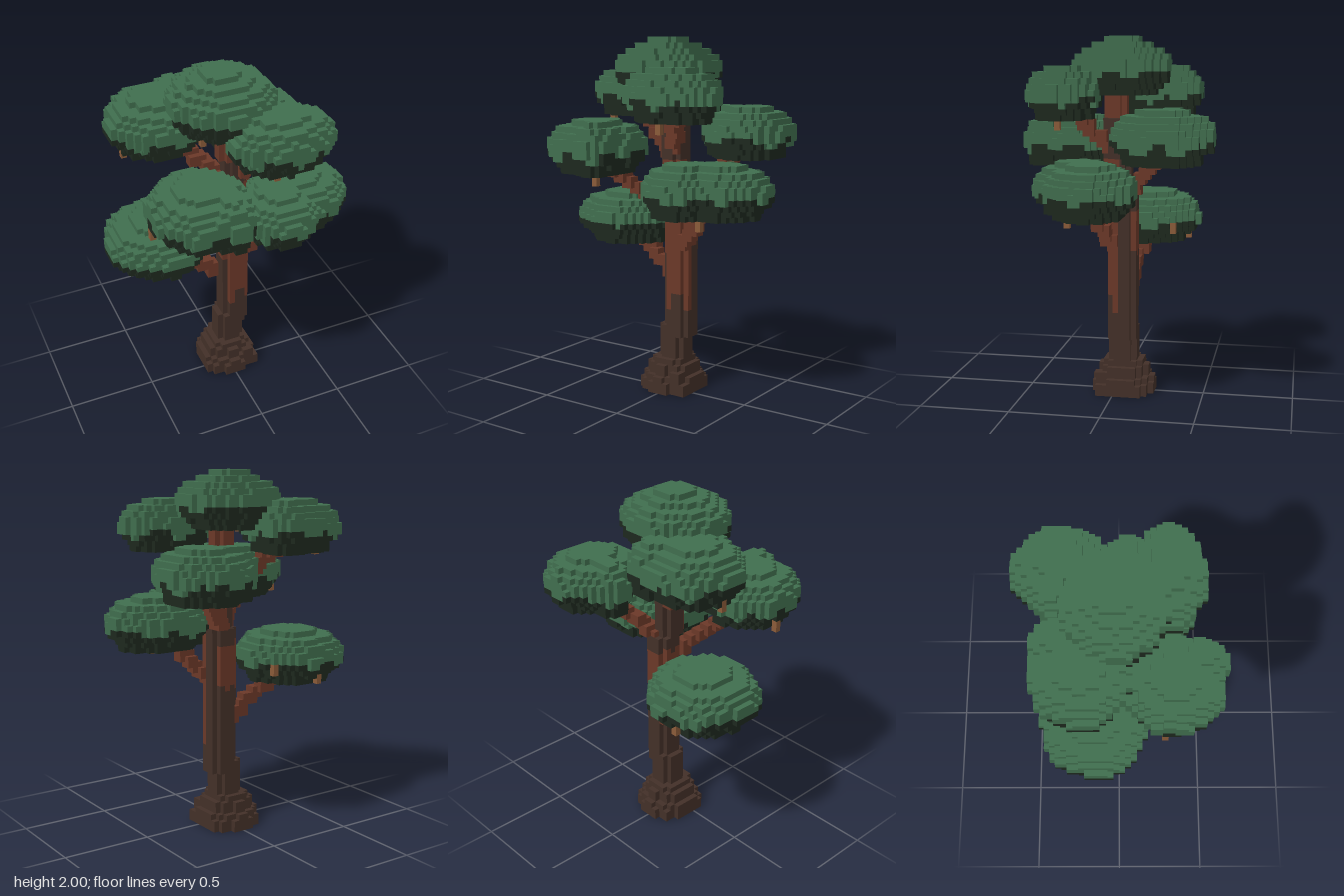
import * as THREE from 'three';

const S = 2 / 63; // voxel edge
const material = (name, color) => {
  const m = new THREE.MeshStandardMaterial({ color });
  m.name = name;
  return m;
};

export function createModel() {
  const mats = {
    leaf: material('leafGreen', 0x406e4e),
    shade: material('leafUnderside', 0x1d281e),
    bark: material('darkBark', 0x433028),
    red: material('redBark', 0x6b3828),
    twig: material('twigBrown', 0x8a5b39),
  };
  const root = new THREE.Group();
  root.name = 'tree';

  // Voxels are stored once in a shared grid, so hidden faces can be skipped
  const grid = new Map();
  const key = (x, y, z) => `${x},${y},${z}`;
  const put = (part, mat, x, y, z) => {
    const k = key(x, y, z);
    if (!grid.has(k)) grid.set(k, { part, mat, x, y, z });
  };
  const fill = (part, mat, x0, x1, y0, y1, z0, z1) => {
    for (let x = x0; x < x1; x++)
      for (let y = y0; y < y1; y++)
        for (let z = z0; z < z1; z++) put(part, mat(x, y, z), x, y, z);
  };
  // A post with its four corner columns cut away
  const post = (part, mat, x0, x1, y0, y1, z0, z1) => {
    fill(part, mat, x0 + 1, x1 - 1, y0, y1, z0, z1);
    fill(part, mat, x0, x1, y0, y1, z0 + 1, z1 - 1);
  };
  const bark = () => 'bark', red = () => 'red', twig = () => 'twig';

  // Trunk: dark foot, red front and a red band behind, dark again below the crown
  const barkRule = (x, y, z) => {
    if (z >= -1 && x >= 0) return y >= (x === 1 || x === 2 ? 18 : 15) && y < 42 ? 'red' : 'bark';
    const band = z === -4 || x === -1;
    return band && y >= 26 - (x & 1) && y < 33 + (z & 1) ? 'red' : 'bark';
  };
  post('trunk', bark, -2, 3, 0, 12, -4, 1);
  post('trunk', barkRule, -1, 4, 10, 36, -4, 1);
  post('trunk', barkRule, -1, 3, 36, 44, -3, 2);
  post('trunk', bark, -1, 3, 44, 49, -3, 2);
  post('trunk', red, -2, 2, 47, 55, -2, 2);

  // Flared roots: stacked discs with a few knobs
  const disc = (y0, y1, rx, rz, cz) => {
    for (let x = -5; x < 5; x++)
      for (let z = -7; z < 4; z++)
        if (((x + 0.5) / rx) ** 2 + ((z + 0.5 - cz) / rz) ** 2 < 1)
          for (let y = y0; y < y1; y++) put('roots', 'bark', x, y, z);
  };
  disc(0, 2, 5.1, 5.7, -1.5);
  disc(2, 3, 5.05, 5.1, -1.5);
  disc(3, 5, 4.1, 4.2, -1.5);
  disc(5, 6, 3.4, 3.4, -1.5);
  for (const [x, y, z] of [[3, 0, 1], [-5, 0, 0], [-4, 0, -6], [3, 0, -5], [2, 2, 1], [-4, 3, -4]])
    fill('roots', bark, x, x + 2, y, y + 2, z, z + 2);

  // Small hanging twigs: [x, bottom y, z, height] in voxels
  const twigs = [[10, 31, 6, 3], [-17, 40, 7, 2], [-17, 48, -6, 2], [-6, 52, 2, 2],
    [-7, 38, 12, 3], [4, 47, 9, 3], [-5, 28, -10, 2], [-13, 26, -12, 2]];
  for (const [x, y, z, h] of twigs) fill('twigs', twig, x, x + 1, y, y + h, z, z + 1);

  // Branches: stepped lines from the trunk into each leaf cluster
  const branch = (name, a, b) => {
    const from = new THREE.Vector3(...a), to = new THREE.Vector3(...b);
    const n = Math.ceil(from.distanceTo(to) / S);
    for (let i = 0; i <= n; i++) {
      const p = from.clone().lerp(to, i / n).divideScalar(S);
      const [x, y, z] = [p.x, p.y, p.z].map(Math.round);
      fill(name, red, x - 1, x + 1, y - 1, y + 1, z - 1, z + 1);
    }
  };
  branch('lowerRightBranch', [0, 0.64, -0.08], [-0.34, 0.9, -0.14]);
  branch('lowerLeftBranch', [0.1, 0.86, 0], [0.31, 1.1, 0.12]);
  branch('middleRightBranch', [0, 1.04, 0], [-0.28, 1.34, 0.26]);
  branch('middleBackBranch', [0.07, 1.15, -0.08], [0.3, 1.4, -0.3]);
  branch('upperRightBranch', [0, 1.34, -0.03], [-0.31, 1.62, -0.19]);
  branch('upperLeftBranch', [0.04, 1.36, 0], [0.18, 1.6, 0.21]);

  // Leaf clusters: stacked rounded layers, dark below a wavy line.
  // Each lobe is [centre x, centre z, radius x, radius z].
  const padProfile = [0.75, 0.78, 0.92, 1, 1, 0.98, 0.91, 0.79, 0.5];
  const crownProfile = [0.72, 0.86, 0.96, 1, 1, 1, 0.95, 0.82, 0.6, 0.38];
  const cluster = (name, y0, shadeLine, lobes, profile = padProfile) => {
    const seed = lobes[0][0] * 20 + lobes[0][1] * 31;
    const inside = (x, z, f) => lobes.some(([cx, cz, rx, rz]) => {
      const dx = ((x + 0.5) * S - cx) / rx, dz = ((z + 0.5) * S - cz) / rz;
      const wobble = 1 + 0.025 * Math.sin(5 * Math.atan2(dz, dx) + seed);
      return Math.abs(dx) ** 1.9 + Math.abs(dz) ** 1.9 < (f * wobble) ** 1.9;
    });
    profile.forEach((f, k) => {
      for (let x = -21; x < 21; x++)
        for (let z = -18; z < 18; z++) {
          if (!inside(x, z, f)) continue;
          const wave = 0.8 * Math.sin(x * 0.9 + seed) + 0.6 * Math.sin(z * 1.1 + x * 0.4);
          put(name, k < Math.min(4, shadeLine + wave) ? 'shade' : 'leaf', x, y0 + k, z);
        }
    });
  };
  cluster('lowerRightLeaves', 26, 3.7, [[-0.367, -0.14, 0.3, 0.295]]);
  cluster('lowerLeftLeaves', 33, 2.9, [[0.37, 0.075, 0.295, 0.24], [0.215, 0.165, 0.225, 0.245]]);
  cluster('middleRightLeaves', 40, 2.6, [[-0.285, 0.28, 0.265, 0.275], [-0.17, 0.42, 0.12, 0.15]]);
  cluster('middleBackLeaves', 42, 2.9, [[0.325, -0.305, 0.25, 0.272], [0.165, -0.34, 0.135, 0.11]]);
  cluster('upperRightLeaves', 49, 2.9, [[-0.33, -0.19, 0.275, 0.255], [-0.19, -0.32, 0.13, 0.125]]);
  cluster('upperLeftLeaves', 49, 2.9, [[0.19, 0.25, 0.285, 0.195]]);
  cluster('crownLeaves', 53, 3.6, [[-0.032, -0.025, 0.285, 0.268]], crownProfile);

  // Emit only exposed faces, one mesh per part and colour
  const buckets = new Map();
  for (const v of grid.values()) {
    const id = v.part + '|' + v.mat;
    if (!buckets.has(id)) buckets.set(id, { pos: [], nor: [] });
    const { pos, nor } = buckets.get(id);
    const c = [v.x + 0.5, v.y + 0.5, v.z + 0.5];
    for (let axis = 0; axis < 3; axis++)
      for (const sign of [-1, 1]) {
        const n = [0, 0, 0];
        n[axis] = sign;
        if (grid.has(key(v.x + n[0], v.y + n[1], v.z + n[2]))) continue;
        const u = (axis + 1) % 3, w = (axis + 2) % 3;
        const corner = (a, b) => {
          const p = c.slice();
          p[axis] += sign / 2;
          p[u] += (a * sign) / 2;
          p[w] += b / 2;
          return p.map((q) => q * S);
        };
        const q = [corner(-1, -1), corner(1, -1), corner(1, 1), corner(-1, 1)];
        for (const i of [0, 1, 2, 0, 2, 3]) {
          pos.push(...q[i]);
          nor.push(...n);
        }
      }
  }
  const groups = {};
  for (const [id, { pos, nor }] of buckets) {
    const [part, mat] = id.split('|');
    if (!groups[part]) {
      groups[part] = new THREE.Group();
      groups[part].name = part;
      root.add(groups[part]);
    }
    const geo = new THREE.BufferGeometry();
    geo.setAttribute('position', new THREE.Float32BufferAttribute(pos, 3));
    geo.setAttribute('normal', new THREE.Float32BufferAttribute(nor, 3));
    const mesh = new THREE.Mesh(geo, mats[mat]);
    mesh.name = part + '_' + mats[mat].name;
    groups[part].add(mesh);
  }
  return root;
}
